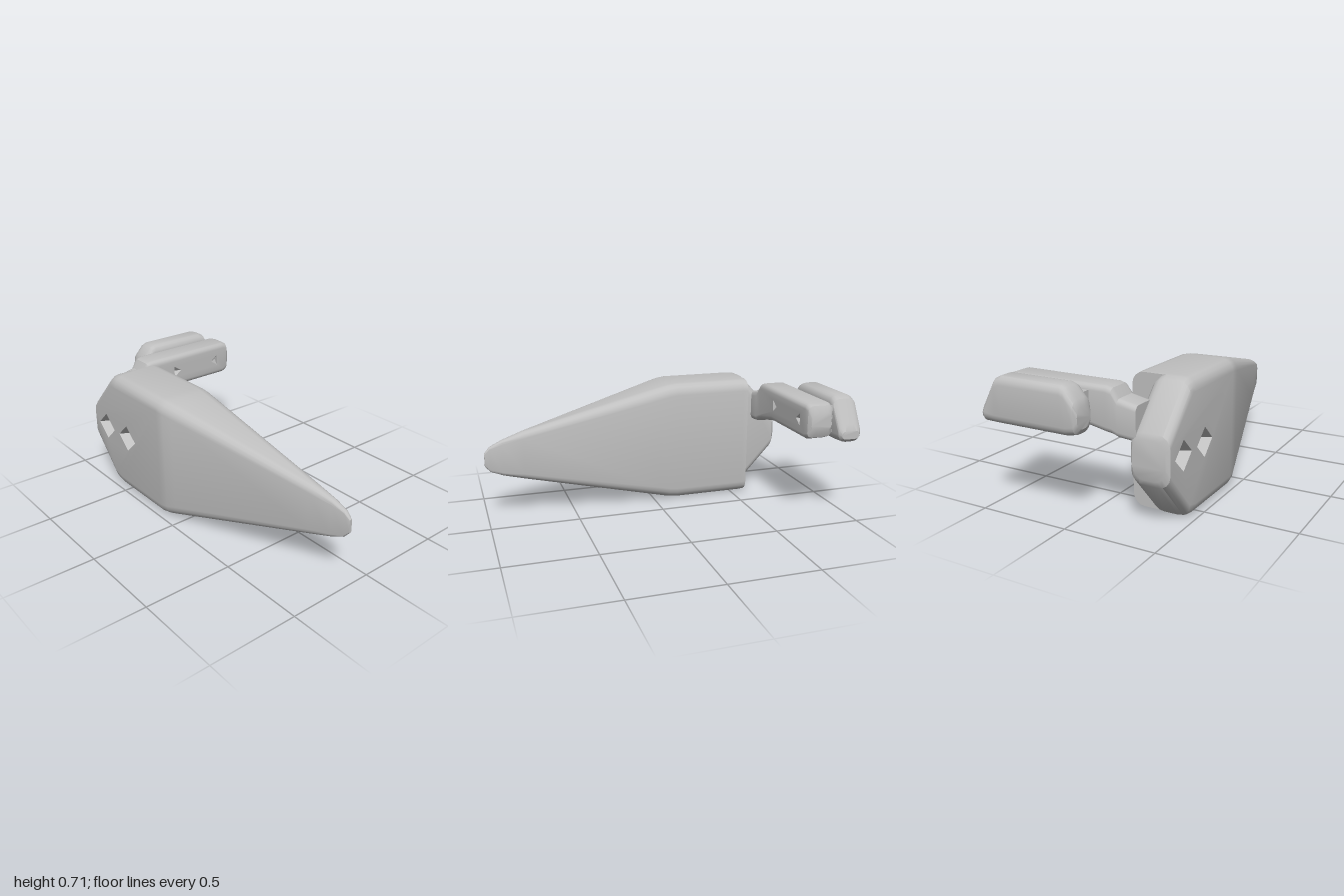
import * as THREE from 'three';
import { toCreasedNormals } from 'three/addons/utils/BufferGeometryUtils.js';

const ARC = 4; // segments per rounded corner

// Rounded rectangle in the y-z plane at x; the ring starts and ends at the +z face.
function section([x, y0, y1, z0, z1], radius) {
  const r = Math.min(radius, 0.45 * (y1 - y0), 0.45 * (z1 - z0));
  const corners = [[y0 + r, z1 - r], [y0 + r, z0 + r], [y1 - r, z0 + r], [y1 - r, z1 - r]];
  const ring = [];
  corners.forEach(([cy, cz], k) => {
    for (let i = 0; i <= ARC; i++) {
      const t = (k + 1 + i / ARC) * Math.PI / 2;
      ring.push(new THREE.Vector3(x, cy + r * Math.cos(t), cz + r * Math.sin(t)));
    }
  });
  return ring;
}

// Skin over sections along x. Stations from..to of the +z face become one flat panel with sunken pits.
function loft(stations, radius, panel) {
  const rings = stations.map((s) => section(s, radius));
  const n = rings[0].length;
  const pos = [];
  const tri = (...pts) => pts.forEach((p) => pos.push(p.x, p.y, p.z));
  const quad = (a, b, c, d) => { tri(a, b, c); tri(a, c, d); };

  for (let i = 0; i < rings.length - 1; i++) {
    const inPanel = panel && i >= panel.from && i < panel.to;
    for (let j = 0; j < n; j++) {
      if (inPanel && j === n - 1) continue;
      const k = (j + 1) % n;
      quad(rings[i][j], rings[i][k], rings[i + 1][k], rings[i + 1][j]);
    }
  }
  // End caps
  const last = rings[rings.length - 1];
  for (let j = 1; j < n - 1; j++) {
    tri(rings[0][0], rings[0][j + 1], rings[0][j]);
    tri(last[0], last[j], last[j + 1]);
  }
  // Flat panel with pits
  if (panel) {
    const used = rings.slice(panel.from, panel.to + 1);
    const z = used[0][0].z;
    const flat = (p) => new THREE.Vector2(p.x, p.y);
    // Skip doubled stations
    const unique = used.filter((r, i) => i === 0 || r[0].x - used[i - 1][0].x > 1e-6);
    const contour = [
      ...unique.map((r) => flat(r[0])),
      ...unique.map((r) => flat(r[n - 1])).reverse(),
    ];
    const holes = panel.pits.map((p) => p.outline.map(([x, y]) => new THREE.Vector2(x, y)).reverse());
    const all = [contour, ...holes].flat();
    const lift = (p, depth = 0) => new THREE.Vector3(p.x, p.y, z - depth);
    THREE.ShapeUtils.triangulateShape(contour, holes).forEach((f) => tri(...f.map((i) => lift(all[i]))));
    panel.pits.forEach(({ outline, centre, scale, depth }) => {
      const rim = outline.map(([x, y]) => new THREE.Vector3(x, y, z));
      const mid = new THREE.Vector3(centre[0], centre[1], z);
      const floor = rim.map((p) => p.clone().lerp(mid, 1 - scale).setZ(z - depth));
      rim.forEach((p, j) => {
        const k = (j + 1) % rim.length;
        quad(p, rim[k], floor[k], floor[j]);
        if (scale > 0 && j > 0 && j < rim.length - 1) tri(floor[0], floor[j], floor[j + 1]);
      });
    });
  }
  const geo = new THREE.BufferGeometry();
  geo.setAttribute('position', new THREE.Float32BufferAttribute(pos, 3));
  return toCreasedNormals(geo, 0.5);
}

export function createModel() {
  const grey = new THREE.MeshStandardMaterial({ color: 0xc0c0c0 });
  grey.name = 'light grey';
  const model = new THREE.Group();
  model.name = 'wedgeAndArm';
  const add = (name, geo, parent) => {
    const mesh = new THREE.Mesh(geo, grey);
    mesh.name = name;
    parent.add(mesh);
    return mesh;
  };

  // Tapered body, with a notch behind its blunt end
  const diamond = (x) => ({
    outline: [[x - 0.085, 0.36], [x, 0.28], [x + 0.085, 0.36], [x, 0.44]],
    centre: [x, 0.36], scale: 0.35, depth: 0.1,
  });
  add('taperedBody', loft([
    [-0.832, 0.26, 0.46, 0.28, 0.46],
    [-0.82, 0.23, 0.49, 0.27, 0.48],
    [-0.62, 0.015, 0.70, 0.27, 0.48],
    [-0.59, 0.003, 0.712, 0.27, 0.48],
    [-0.59, 0.003, 0.712, 0.14, 0.48],
    [-0.56, 0, 0.714, 0.14, 0.48],
    [-0.14, 0, 0.714, 0.14, 0.48],
    [-0.09, 0.006, 0.708, 0.14, 0.472],
    [-0.03, 0.02, 0.695, 0.14, 0.455],
    [0.78, 0.22, 0.50, 0.14, 0.22],
    [0.9, 0.255, 0.462, 0.14, 0.185],
    [0.97, 0.285, 0.43, 0.14, 0.168],
    [1, 0.32, 0.395, 0.143, 0.158],
  ], 0.065, { from: 1, to: 6, pits: [diamond(-0.69), diamond(-0.465)] }), model);

  // Arm assembly is lofted along x, then turned to run backwards
  const arm = new THREE.Group();
  arm.name = 'armAssembly';
  arm.rotation.y = Math.PI / 2;
  model.add(arm);

  const dent = (edge, tip) => {
    const pts = [[edge, 0.552], [edge, 0.622], [tip, 0.587]];
    return { outline: tip > edge ? pts.reverse() : pts, centre: [edge, 0.587], scale: 0, depth: 0.03 };
  };
  add('arm', loft([
    [-0.3, 0.43, 0.61, -0.825, -0.67],
    [-0.2, 0.44, 0.63, -0.83, -0.67],
    [-0.17, 0.455, 0.68, -0.835, -0.68],
    [-0.14, 0.46, 0.688, -0.838, -0.68],
    [0.0, 0.488, 0.688, -0.838, -0.68],
    [0.41, 0.488, 0.688, -0.838, -0.68],
    [0.44, 0.50, 0.678, -0.832, -0.685],
    [0.458, 0.54, 0.64, -0.82, -0.70],
  ], 0.03, { from: 2, to: 5, pits: [dent(0.02, 0.068), dent(0.358, 0.31)] }), arm);

  // Narrow neck joining the arm and the pad
  add('neck', loft([
    [-0.05, 0.51, 0.66, -0.89, -0.82],
    [0.40, 0.51, 0.66, -0.89, -0.82],
  ], 0.015), arm);

  // Outer pad with a sloped far end
  add('pad', loft([
    [-0.085, 0.50, 0.61, -0.985, -0.875],
    [-0.07, 0.475, 0.645, -1, -0.86],
    [-0.02, 0.465, 0.70, -1, -0.857],
    [0.005, 0.465, 0.71, -1, -0.857],
    [0.36, 0.465, 0.71, -1, -0.857],
    [0.395, 0.465, 0.695, -1, -0.857],
    [0.465, 0.467, 0.565, -1, -0.865],
    [0.483, 0.485, 0.53, -0.985, -0.88],
  ], 0.045), arm);

  return model;
}
